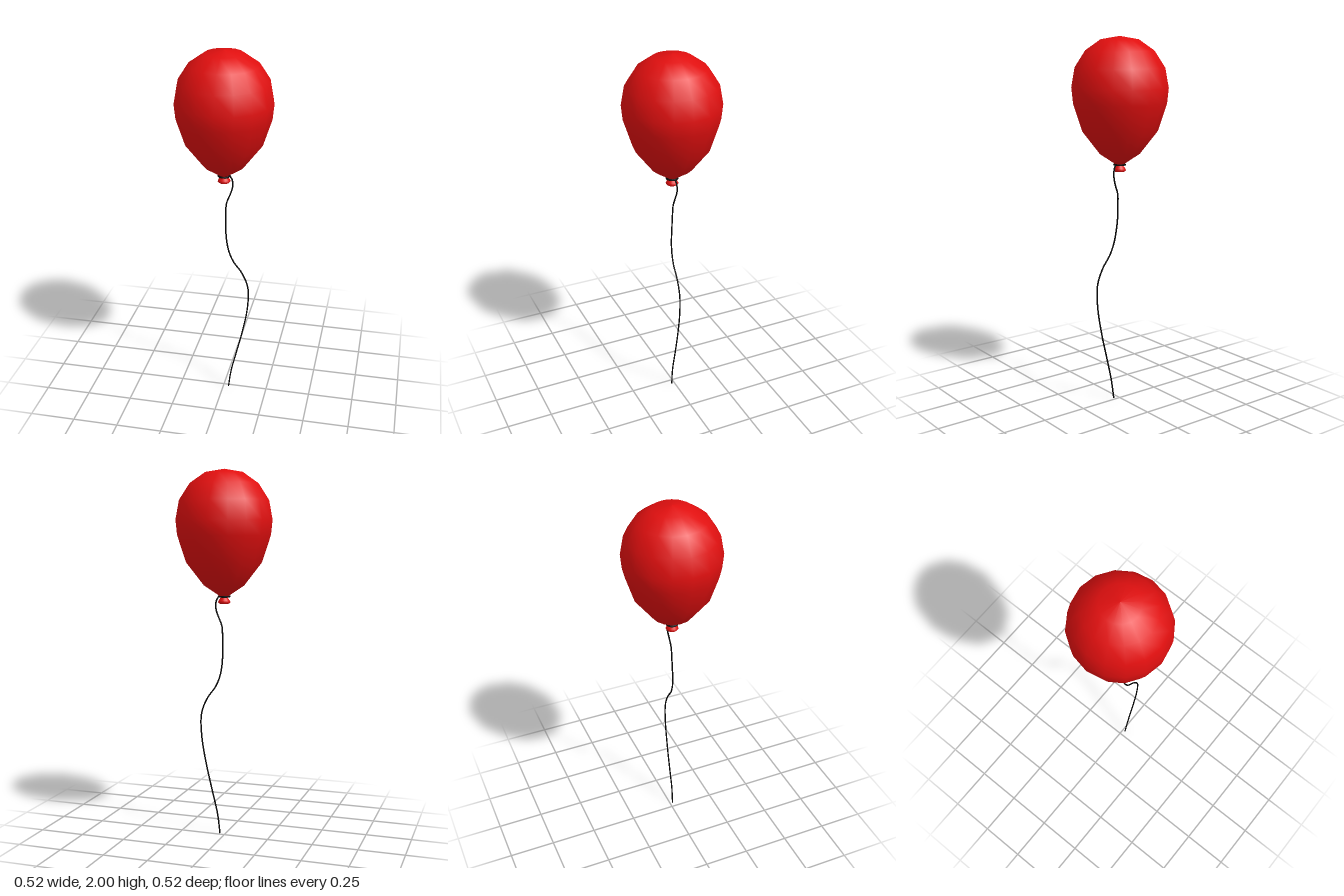
import * as THREE from 'three';

export function createModel() {
  const model = new THREE.Group();
  model.name = 'balloon';

  const red = new THREE.MeshStandardMaterial({ color: 0xe00f0f });
  red.name = 'balloon red';
  const black = new THREE.MeshStandardMaterial({ color: 0x050505 });
  black.name = 'string black';

  const add = (name, geometry, material) => {
    const mesh = new THREE.Mesh(geometry, material);
    mesh.name = name;
    model.add(mesh);
    return mesh;
  };
  // Profiles run from the bottom up as [radius, height]
  const lathe = (profile, sides) =>
    new THREE.LatheGeometry(profile.map(([r, y]) => new THREE.Vector2(r, y)), sides);

  // Inflated body
  add('body', lathe([
    [0.016, 1.322], [0.03, 1.335], [0.108, 1.387], [0.203, 1.51], [0.25, 1.655],
    [0.258, 1.735], [0.239, 1.838], [0.182, 1.926], [0.1, 1.983], [0, 2],
  ], 16), red);

  // Flared lip below the knot, hollow underneath
  add('lip', lathe([
    [0, 1.318], [0.026, 1.29], [0.034, 1.298], [0.029, 1.308], [0.016, 1.326],
  ], 16), red);

  // Loop of string tied around the neck
  const knot = add('knot', new THREE.TorusGeometry(0.03, 0.005, 6, 16), black);
  knot.rotation.x = Math.PI / 2;
  knot.position.y = 1.328;

  // Hanging string
  const path = new THREE.CatmullRomCurve3([
    [0.03, 1.328, -0.004], [0.044, 1.3, -0.008], [0.044, 1.26, -0.008], [0.03, 1.215, -0.003],
    [0.013, 1.17, 0], [0.01, 1.1, 0.003], [0.01, 1.03, 0.006], [0.017, 0.95, 0.012],
    [0.03, 0.89, 0.015], [0.056, 0.83, 0.017], [0.1, 0.77, 0.017], [0.137, 0.68, 0.017],
    [0.137, 0.55, 0.017], [0.11, 0.39, 0.017], [0.075, 0.24, 0.017], [0.045, 0.11, 0.018],
    [0.03, 0, 0.016],
  ].map((p) => new THREE.Vector3(...p)));
  add('string', new THREE.TubeGeometry(path, 64, 0.0042, 6), black);

  return model;
}
